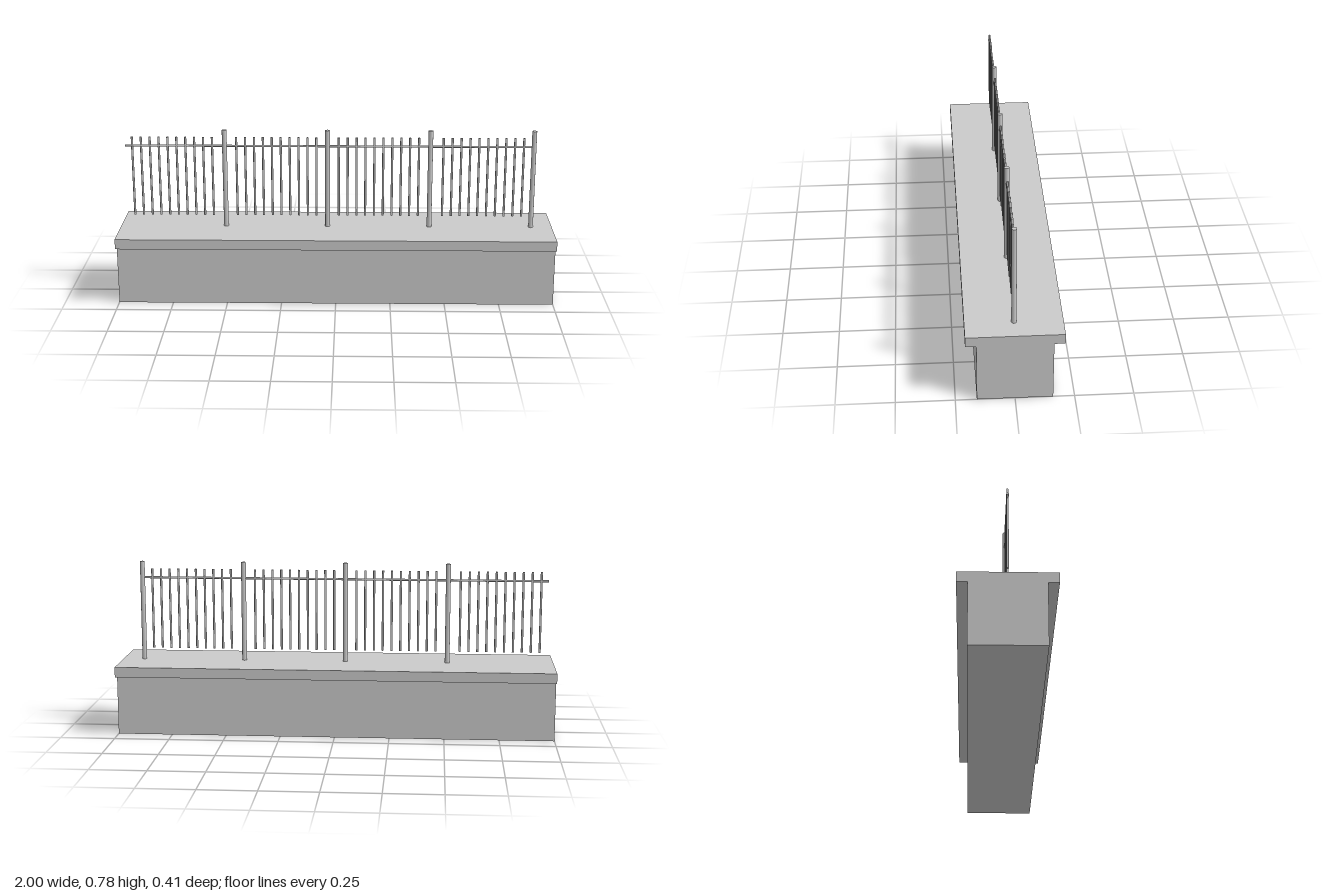
import * as THREE from 'three';

const material = new THREE.MeshStandardMaterial({ color: 0xcccccc });

function addMesh(parent, name, geometry, x, y, z) {
  const mesh = new THREE.Mesh(geometry, material);
  mesh.name = name;
  mesh.position.set(x, y, z);
  parent.add(mesh);
  return mesh;
}

// Upright round rod standing between two heights
function addRod(parent, name, radius, x, bottom, top) {
  const rod = new THREE.CylinderGeometry(radius, radius, top - bottom, 12);
  return addMesh(parent, name, rod, x, (bottom + top) / 2, 0);
}

export function createModel() {
  const model = new THREE.Group();
  model.name = 'railedWall';

  // Wall with an overhanging coping slab, flush at both ends
  const wallHeight = 0.277, copingTop = 0.323;
  addMesh(model, 'wall', new THREE.BoxGeometry(2, wallHeight, 0.32), 0, wallHeight / 2, 0);
  addMesh(model, 'coping', new THREE.BoxGeometry(2, copingTop - wallHeight, 0.412),
    0, (wallHeight + copingTop) / 2, 0);

  const railing = new THREE.Group();
  railing.name = 'railing';
  model.add(railing);

  // Four bays: ten hanging bars, then a post at the +x end
  const barStarts = [-0.934, -0.457, 0.012, 0.490];
  barStarts.forEach((start, bay) => {
    const group = new THREE.Group();
    group.name = `bay${bay + 1}`;
    railing.add(group);
    for (let i = 0; i < 10; i++) {
      addRod(group, 'bar', 0.005, start + i * 0.0407, 0.376, 0.749);
    }
    addRod(group, 'post', 0.011, -0.511 + bay * 0.471, copingTop, 0.783);
  });

  // Top rail running through all bars and posts
  const railStart = -0.966, railEnd = 0.902;
  const rail = new THREE.CylinderGeometry(0.005, 0.005, railEnd - railStart, 12);
  rail.rotateZ(Math.PI / 2);
  addMesh(railing, 'topRail', rail, (railStart + railEnd) / 2, 0.708, 0);

  return model;
}
